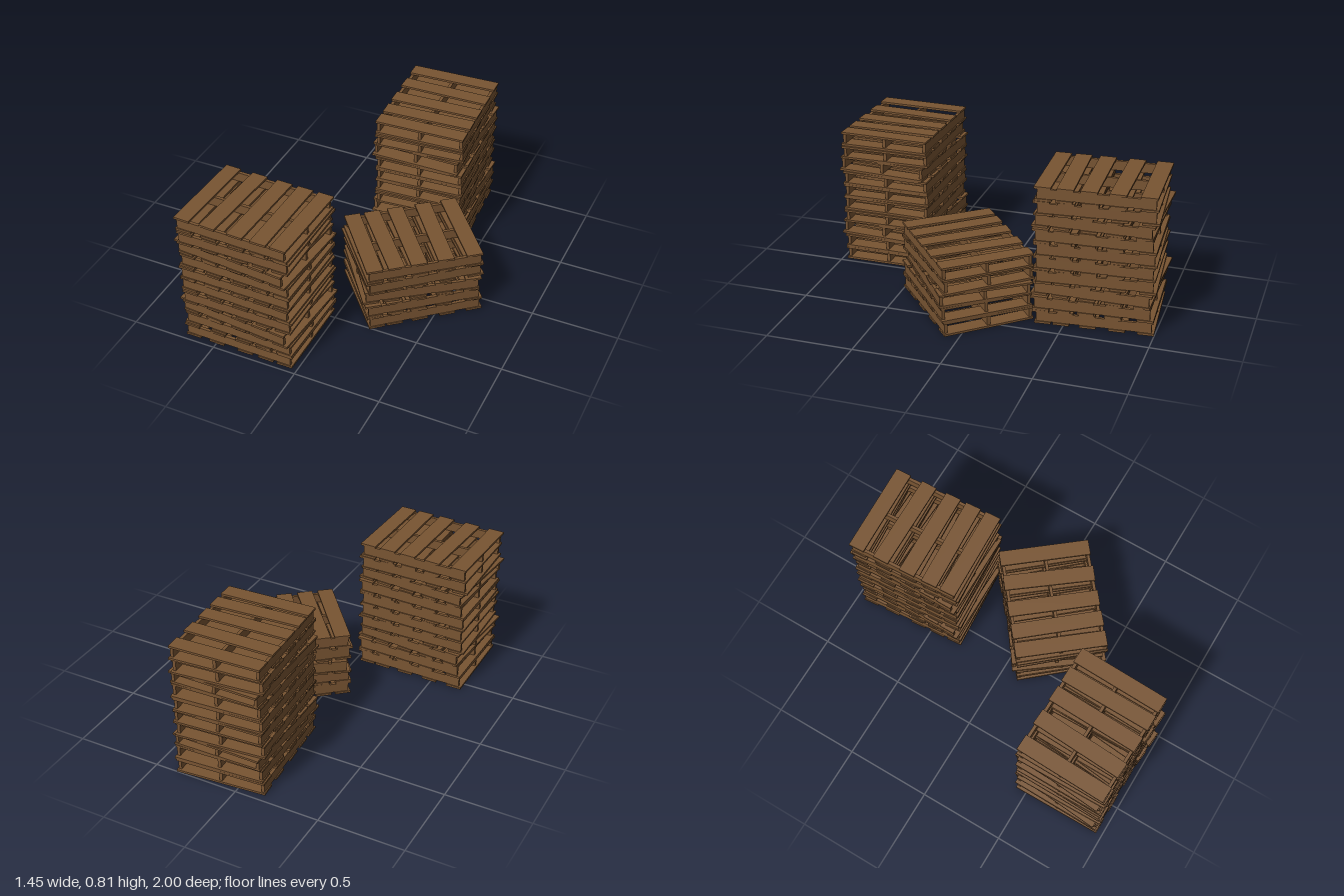
import * as THREE from 'three';

const wood = new THREE.MeshStandardMaterial({ color: 0x785432, flatShading: true });
const rad = THREE.MathUtils.degToRad;

// Pallet dimensions: stringers run along local x, deck boards along local z
const HEIGHT = 0.081, BOARD_T = 0.0125;
const LENGTH = 0.64, DEPTH = 0.53, BOARD_W = 0.092;
const boardX = [-0.285, -0.125, 0.035, 0.168, 0.288];
const topSkew = [-0.6, -1.9, -0.7, 0.5, -0.5];
const bottomSkew = [0.8, -0.6, 1.2, -1, 0.4];

const boardGeo = new THREE.BoxGeometry(BOARD_W, BOARD_T, DEPTH);
const stringerGeo = new THREE.BoxGeometry(LENGTH, HEIGHT - 2 * BOARD_T, 0.018);

function addMesh(parent, name, geo, x, y, z, turn = 0) {
  const mesh = new THREE.Mesh(geo, wood);
  mesh.name = name;
  mesh.position.set(x, y, z);
  mesh.rotation.y = rad(turn);
  parent.add(mesh);
}

function createPallet(variant) {
  const pallet = new THREE.Group();
  pallet.name = 'pallet';
  for (const z of [-0.25, 0, 0.25]) addMesh(pallet, 'stringer', stringerGeo, 0, HEIGHT / 2, z);
  boardX.forEach((x, i) => {
    // the uppermost pallet keeps the plain layout, the others vary a little
    const shift = variant === 4 ? 0 : 0.008 * Math.sin(variant * 2.3 + i * 1.7);
    addMesh(pallet, 'topBoard', boardGeo, x + shift, HEIGHT - BOARD_T / 2, 0, topSkew[i]);
    addMesh(pallet, 'bottomBoard', boardGeo, x - shift, BOARD_T / 2, 0, bottomSkew[i]);
  });
  return pallet;
}

// Five loosely aligned pallets, repeated for the taller stacks
const layerTurn = [1, 0, -3, 1.4, 0];
const layerShift = [[0, 0], [0.006, -0.004], [0, 0.004], [0.004, 0.003], [0, 0]];

function createStack(name, x, z, turn, layers) {
  const stack = new THREE.Group();
  stack.name = name;
  for (let i = 0; i < layers; i++) {
    const k = i % 5;
    const pallet = createPallet(k);
    pallet.position.set(layerShift[k][0], i * HEIGHT, layerShift[k][1]);
    pallet.rotation.y = rad(layerTurn[k]);
    stack.add(pallet);
  }
  stack.position.set(x, 0, z);
  stack.rotation.y = rad(turn);
  return stack;
}

export function createModel() {
  const model = new THREE.Group();
  model.name = 'palletStacks';
  model.add(
    createStack('frontStack', -0.36, 0.703, -1.5, 10),
    createStack('backStack', 0.13, -0.647, -87, 10),
    createStack('shortStack', 0.295, 0.093, 219.5, 5),
  );
  return model;
}
